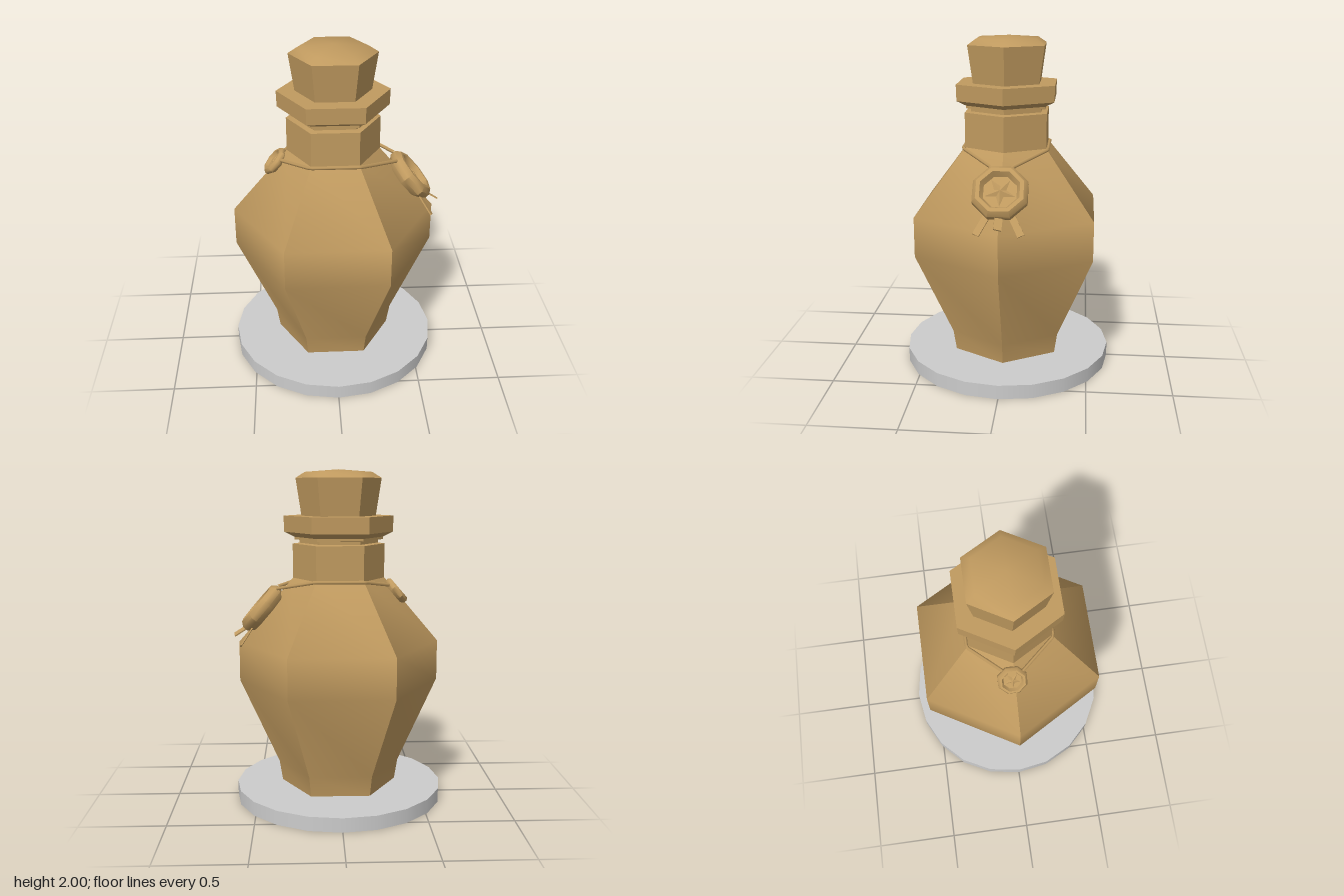
import * as THREE from 'three';
import { toCreasedNormals } from 'three/addons/utils/BufferGeometryUtils.js';

const clay = new THREE.MeshStandardMaterial({ color: 0xc09a5f });
clay.name = 'tan clay';
const stone = new THREE.MeshStandardMaterial({ color: 0xcccccc });
stone.name = 'pale grey';

const SLOPE = 0.861; // tilt of the shoulder's outward direction from vertical

function add(parent, name, geometry, material = clay) {
  const mesh = new THREE.Mesh(geometry, material);
  mesh.name = name;
  parent.add(mesh);
  return mesh;
}

// Faceted turned shape with a corner pointing along +x (shifted by turn)
function faceted(profile, sides, crease, turn = 0) {
  const points = profile.map(([r, y]) => new THREE.Vector2(r, y));
  return toCreasedNormals(new THREE.LatheGeometry(points, sides, Math.PI / 2 + turn), crease);
}

// Five-pointed raised star: a ten-sided cone with every other rim point pulled in
function starGeometry(radius, height) {
  const geo = new THREE.ConeGeometry(radius, height, 10, 1, true, Math.PI / 2);
  const p = geo.attributes.position;
  for (let i = 0; i < p.count; i++) {
    if (p.getY(i) < 0 && i % 2 === 0) p.setXYZ(i, p.getX(i) * 0.4, p.getY(i), p.getZ(i) * 0.4);
  }
  return toCreasedNormals(geo, 0.1);
}

// Thin strip between two points
function ribbon(parent, name, from, to, width) {
  const a = new THREE.Vector3(...from), b = new THREE.Vector3(...to);
  const mesh = add(parent, name, new THREE.BoxGeometry(width, 0.008, a.distanceTo(b)));
  mesh.position.copy(a).lerp(b, 0.5);
  mesh.quaternion.setFromUnitVectors(new THREE.Vector3(0, 0, 1), b.sub(a).normalize());
  return mesh;
}

// Octagonal seal lying on the shoulder; local y points outward, local x down the slope
function makeSeal(name, r) {
  const seal = new THREE.Group();
  seal.name = name;
  add(seal, 'sealDisc', faceted([
    [0, -0.28 * r], [0.8 * r, -0.28 * r], [r, -0.08 * r], [r, 0.12 * r],
    [0.86 * r, 0.28 * r], [0.72 * r, 0.28 * r], [0.6 * r, 0.08 * r], [0, 0.08 * r],
  ], 8, 0.75, Math.PI / 8));
  add(seal, 'sealStar', starGeometry(0.56 * r, 0.13 * r)).position.y = 0.14 * r;
  seal.rotation.z = -SLOPE;
  return seal;
}

export function createModel() {
  const model = new THREE.Group();
  model.name = 'bottle';

  // Round stand
  add(model, 'stand', new THREE.CylinderGeometry(0.63, 0.63, 0.085, 20), stone).position.y = 0.0425;

  // Six-sided body
  add(model, 'body', faceted([
    [0, 0.087], [0.35, 0.087], [0.37, 0.21], [0.605, 0.73], [0.605, 0.97], [0.275, 1.36],
  ], 6, 0.72));

  // Neck with a groove under the flared rim
  add(model, 'neck', faceted([
    [0.275, 1.355], [0.275, 1.565], [0.235, 1.57], [0.235, 1.6],
  ], 6, 0.72));
  add(model, 'rim', faceted([
    [0.22, 1.585], [0.265, 1.59], [0.265, 1.605], [0.325, 1.635], [0.328, 1.73], [0.2, 1.73],
  ], 6, 0.6));

  // Tapered cork with a low domed top
  add(model, 'cork', faceted([
    [0.22, 1.72], [0.255, 1.95], [0.2, 1.985], [0, 2.0],
  ], 6, 0.72));

  // Cord running round the base of the neck to both seals
  const half = [[0.37, 1.3, 0.06], [0.145, 1.357, 0.248], [-0.145, 1.357, 0.248], [-0.32, 1.315, 0.04]];
  for (const side of [1, -1]) {
    const path = new THREE.CurvePath();
    const pts = half.map(([x, y, z]) => new THREE.Vector3(x, y, z * side));
    for (let i = 0; i < pts.length - 1; i++) path.add(new THREE.LineCurve3(pts[i], pts[i + 1]));
    add(model, side > 0 ? 'frontCord' : 'backCord', new THREE.TubeGeometry(path, 36, 0.011, 5));
  }

  // Large seal with three ribbon tails on the left shoulder
  const large = makeSeal('largeSeal', 0.167);
  large.position.set(0.46, 1.175, 0);
  ribbon(large, 'middleTail', [0.12, -0.01, 0], [0.235, 0.025, 0], 0.045);
  for (const s of [1, -1]) {
    ribbon(large, 'sideTail', [0.11, -0.025, 0.06 * s], [0.24, -0.04, 0.125 * s], 0.04);
  }
  model.add(large);

  // Small seal on the right shoulder
  const mount = new THREE.Group();
  mount.name = 'smallSealMount';
  mount.rotation.y = Math.PI;
  mount.position.set(-0.345, 1.28, -0.015);
  mount.add(makeSeal('smallSeal', 0.09));
  model.add(mount);

  return model;
}
